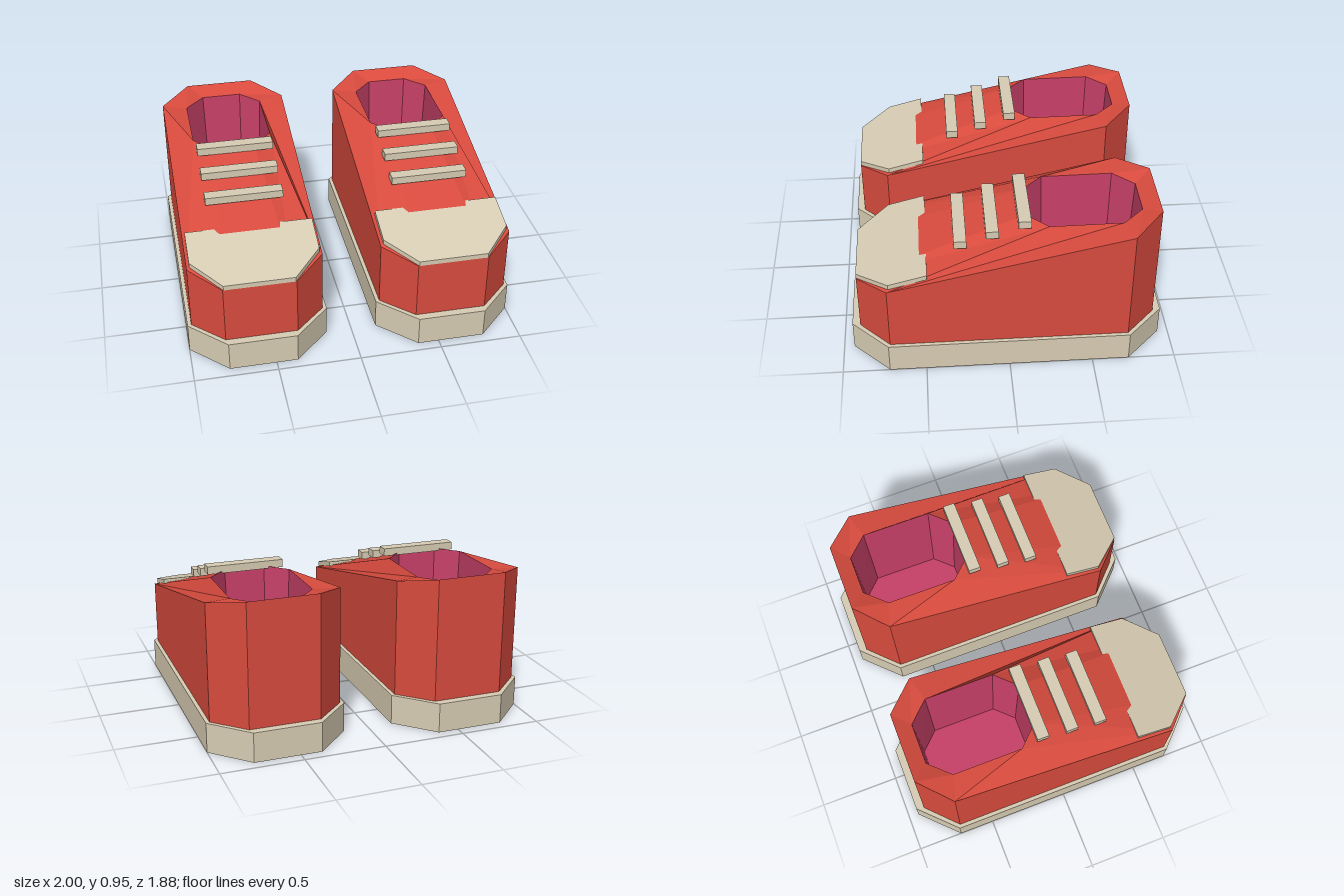
import * as THREE from 'three';

const material = (name, color) => {
  const m = new THREE.MeshStandardMaterial({ color });
  m.name = name;
  return m;
};

// Octagon ring: half sizes hx, hz, flat-edge half lengths cx, cz, centred at z0; y is a function of z
function octagon(hx, hz, cx, cz, z0, y) {
  return [[cx, hz], [hx, cz], [hx, -cz], [cx, -hz], [-cx, -hz], [-hx, -cz], [-hx, cz], [-cx, hz]]
    .map(([x, z]) => new THREE.Vector3(x, y(z + z0), z + z0));
}

// Faceted skin over successive rings, optionally closed at the first and last ring
function loft(rings, closeStart, closeEnd) {
  const pts = [];
  for (let r = 0; r + 1 < rings.length; r++) {
    const a = rings[r], b = rings[r + 1], n = a.length;
    for (let i = 0; i < n; i++) {
      const j = (i + 1) % n;
      pts.push(a[i], a[j], b[j], a[i], b[j], b[i]);
    }
  }
  const first = rings[0], last = rings[rings.length - 1];
  for (let i = 1; i + 1 < first.length; i++) {
    if (closeStart) pts.push(first[0], first[i + 1], first[i]);
    if (closeEnd) pts.push(last[0], last[i], last[i + 1]);
  }
  const g = new THREE.BufferGeometry().setFromPoints(pts);
  g.computeVertexNormals();
  return g;
}

export function createModel() {
  const cream = material('cream rubber', 0xd8cdb4);
  const red = material('red canvas', 0xd94b3e);
  const pink = material('pink lining', 0xc74068);

  const soleTop = 0.185;
  const collarY = (z) => 0.9 - (z + 0.79) * 0.008;
  const wallTop = (z) => 0.748 - z * 0.222;
  const capTop = (z) => 0.58 + (0.89 - z) * 0.265;

  const outer = (y) => octagon(0.4, 0.89, 0.215, 0.71, 0, y);
  const rim = octagon(0.245, 0.34, 0.125, 0.215, -0.45, collarY);
  const floor = octagon(0.222, 0.315, 0.113, 0.203, -0.45, () => 0.25);

  // Sole slab
  const sole = (y) => octagon(0.423, 0.938, 0.205, 0.72, 0, () => y);
  const soleGeo = loft([sole(0), sole(soleTop)], true, true);
  // Sloping upper with foot opening, and its lining
  const upperGeo = loft([outer(() => soleTop), outer(wallTop), rim], false, false);
  const liningGeo = loft([rim, floor], false, true);
  // Toe cap plate lying on the front slope
  const capRing = (drop) => [[0.21, 0.89], [0.383, 0.7], [0.383, 0.475], [-0.383, 0.475], [-0.383, 0.7], [-0.21, 0.89]]
    .map(([x, z]) => new THREE.Vector3(x, capTop(z) - drop, z));
  const capGeo = loft([capRing(0.03), capRing(0)], true, true);
  const laceGeo = new THREE.BoxGeometry(0.474, 0.048, 0.074);

  const model = new THREE.Group();
  model.name = 'pairOfShoes';
  for (const side of [-1, 1]) {
    const shoe = new THREE.Group();
    shoe.name = side > 0 ? 'leftShoe' : 'rightShoe';
    shoe.position.x = side * 0.577;
    const add = (name, geo, mat) => {
      const mesh = new THREE.Mesh(geo, mat);
      mesh.name = name;
      shoe.add(mesh);
      return mesh;
    };
    add('sole', soleGeo, cream);
    add('upper', upperGeo, red);
    add('lining', liningGeo, pink);
    add('toeCap', capGeo, cream);
    // Three lace bars climbing the tongue
    [[0.782, 0.278], [0.843, 0.092], [0.906, -0.096]].forEach(([y, z], i) => {
      add(`lace${i + 1}`, laceGeo, cream).position.set(0, y, z);
    });
    model.add(shoe);
  }
  return model;
}
